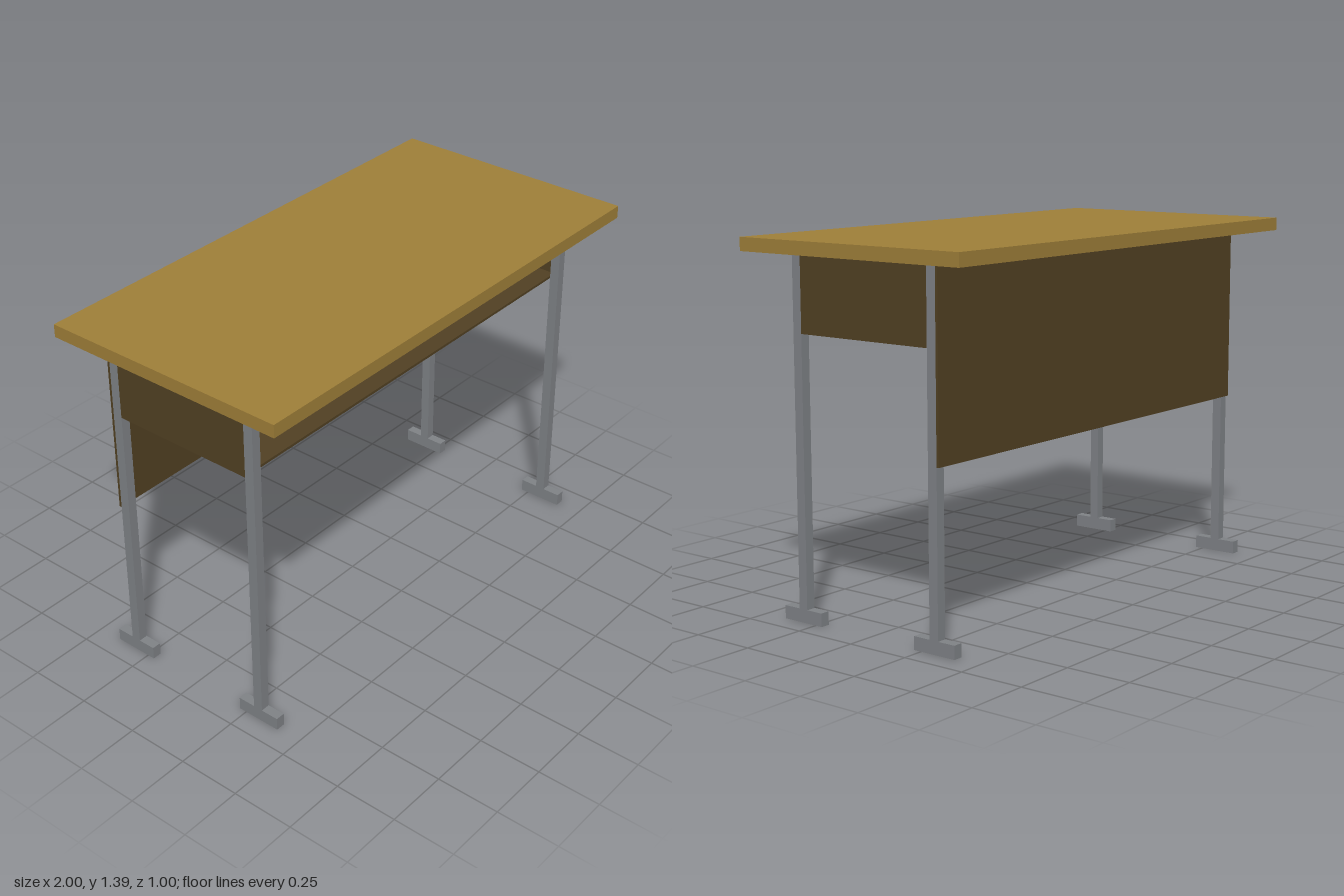
import * as THREE from 'three';

export function createModel() {
  const group = new THREE.Group();
  const mat = (name, color) => {
    const m = new THREE.MeshStandardMaterial({ color });
    m.name = name;
    return m;
  };
  const topWood = mat('light wood', 0xa08039);
  const panelWood = mat('dark wood', 0x524123);
  const metal = mat('grey metal', 0x808387);

  // Box given by its minimum and maximum along each axis
  const box = (name, material, [x0, x1], [y0, y1], [z0, z1]) => {
    const mesh = new THREE.Mesh(new THREE.BoxGeometry(x1 - x0, y1 - y0, z1 - z0), material);
    mesh.position.set((x0 + x1) / 2, (y0 + y1) / 2, (z0 + z1) / 2);
    mesh.name = name;
    group.add(mesh);
  };
  const span = (a, b, side) => (side > 0 ? [a, b] : [-b, -a]);

  const deskBottom = 1.337, outer = 0.917, inner = 0.88;

  // Table top
  box('tableTop', topWood, [-1, 1], [deskBottom, 1.387], [-0.5, 0.5]);

  // Legs with long feet, and the side panels between them
  for (const sx of [1, -1]) {
    const side = sx > 0 ? 'left' : 'right';
    for (const sz of [1, -1]) {
      const end = sz > 0 ? 'Front' : 'Back';
      box(`${side}${end}Leg`, metal, span(inner, outer, sx), [0.05, deskBottom], span(0.29, 0.328, sz));
      box(`${side}${end}Foot`, metal, span(inner, outer, sx), [0, 0.05], span(0.22, 0.4, sz));
    }
    box(`${side}Panel`, panelWood, span(outer - 0.01, outer, sx), [1.052, deskBottom], [-0.29, 0.29]);
  }

  // Open shelf under the top
  box('shelf', panelWood, [-outer + 0.01, outer - 0.01], [1.052, 1.062], [-0.29, 0.29]);

  // Back panel fixed behind the legs
  box('backPanel', panelWood, [-outer, outer], [0.653, deskBottom], [-0.338, -0.328]);

  return group;
}
